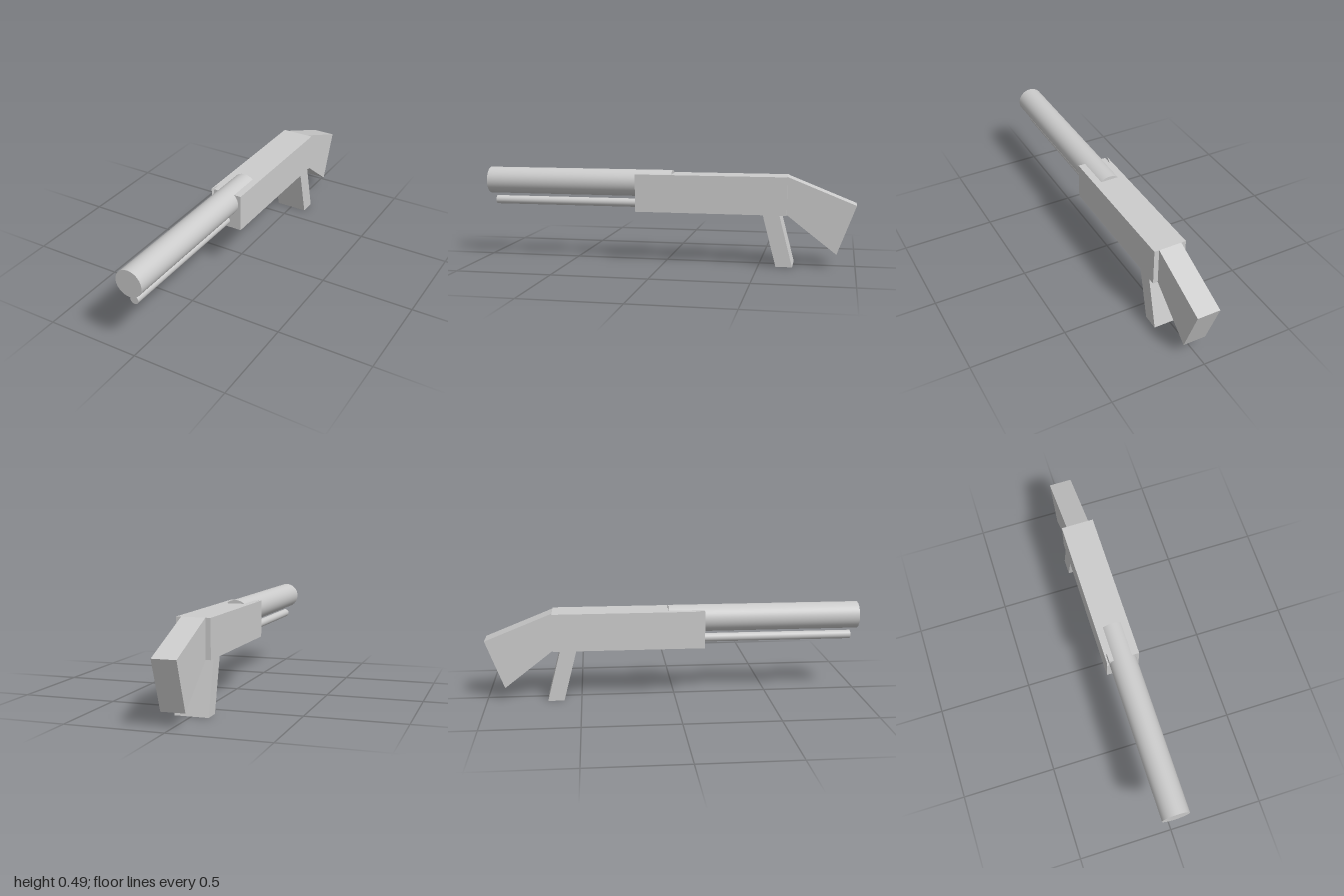
import * as THREE from 'three';

export function createModel() {
  const group = new THREE.Group();
  const material = new THREE.MeshStandardMaterial({ color: 0xcccccc });

  const add = (name, geometry) => {
    const mesh = new THREE.Mesh(geometry, material);
    mesh.name = name;
    group.add(mesh);
    return mesh;
  };

  const extrude = (points, depth) => new THREE.ExtrudeGeometry(
    new THREE.Shape(points.map(([a, b]) => new THREE.Vector2(a, b))),
    { depth, bevelEnabled: false }
  );

  // Side outline of [z, y] points, extruded symmetrically across x
  const sideSlab = (name, points, width) =>
    add(name, extrude(points, width).translate(0, 0, -width / 2).rotateY(-Math.PI / 2));

  // Plan outline of [x, z] points, extruded upwards from y0 to y1
  const planSlab = (name, points, y0, y1) =>
    add(name, extrude(points.map(([x, z]) => [x, -z]), y1 - y0).rotateX(-Math.PI / 2).translate(0, y0, 0));

  // Round bar along z
  const bar = (name, radius, y, z0, z1) =>
    add(name, new THREE.CylinderGeometry(radius, radius, z1 - z0, 48)
      .rotateX(Math.PI / 2).translate(0, y, (z0 + z1) / 2));

  // Receiver, with a small wedge notch beside the barrel in the upper half
  const w = 0.087, front = 0.16, back = -0.645, split = 0.417;
  planSlab('receiverLower', [[w, front], [-w, front], [-w, back], [w, back]], 0.27, split);
  planSlab('receiverUpper',
    [[w, front], [-0.073, front], [-0.073, 0.11], [-w, front], [-w, back], [w, back]], split, 0.47);

  // Barrel and the thinner tube below it
  bar('barrel', 0.072, 0.417, -0.03, 1);
  bar('lowerTube', 0.023, 0.307, 0.1, 0.967);

  // Slanted grip and narrower stock
  sideSlab('grip', [[-0.522, 0.27], [-0.608, 0.27], [-0.678, 0], [-0.592, 0]], w * 2);
  sideSlab('stock', [[back, 0.47], [-1, 0.328], [-0.903, 0.07], [back, 0.27]], 0.122);

  return group;
}
